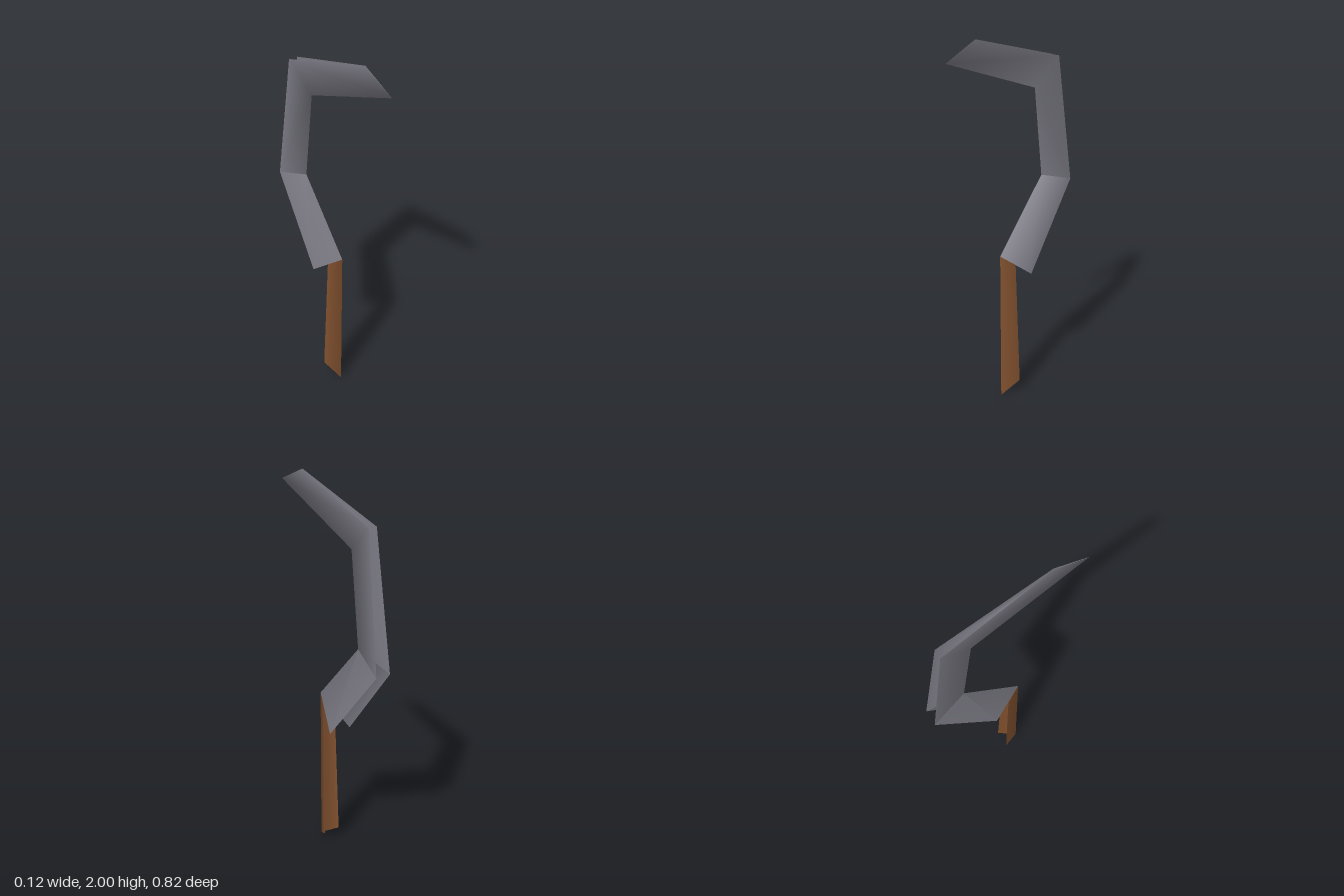
import * as THREE from 'three';

const steel = new THREE.MeshStandardMaterial({ color: 0x7b7a84, side: THREE.DoubleSide });
steel.name = 'steel grey';
const wood = new THREE.MeshStandardMaterial({ color: 0x80502e, side: THREE.DoubleSide });
wood.name = 'wood brown';

// Mirrored sheet: triangles on the +x side are repeated on the -x side.
// Points with x = 0 lie on the spine and are shared, so the fold shades smoothly.
function foldedSheet(name, points, triangles, material) {
  const positions = points.flat();
  const mirror = points.map(([x, y, z], i) => {
    if (x === 0) return i;
    positions.push(-x, y, z);
    return positions.length / 3 - 1;
  });
  const index = [];
  for (const [a, b, c] of triangles) {
    index.push(a, b, c, mirror[a], mirror[c], mirror[b]);
  }
  const geometry = new THREE.BufferGeometry();
  geometry.setAttribute('position', new THREE.Float32BufferAttribute(positions, 3));
  geometry.setIndex(index);
  geometry.computeVertexNormals();
  const mesh = new THREE.Mesh(geometry, material);
  mesh.name = name;
  return mesh;
}

// Strip of V cross-sections, each given as a [spine, outer] pair.
function foldedStrip(name, sections, material) {
  const triangles = [];
  for (let i = 0; i < sections.length - 1; i++) {
    const s = 2 * i;
    triangles.push([s, s + 1, s + 2], [s + 1, s + 3, s + 2]);
  }
  return foldedSheet(name, sections.flat(), triangles, material);
}

export function createModel() {
  const model = new THREE.Group();
  model.name = 'sickle';

  // V-shaped handle, open at the back
  model.add(foldedStrip('handle', [
    [[0, 0, 0.09], [0.047, 0.07, -0.01]],
    [[0, 0.88, 0.09], [0.033, 0.81, 0.01]],
  ], wood));

  // Lower blade: a leaning front fold and flat rear cheeks
  const spineLow = [0, 0.88, 0.09], spineBend = [0, 1.23, -0.22];
  const outerLow = [0.062, 0.73, -0.08], outerBend = [0.04, 1.16, -0.41];
  model.add(foldedSheet('lowerBladeFold', [spineLow, outerLow, spineBend], [[0, 1, 2]], steel));
  model.add(foldedSheet('lowerBladeCheeks', [outerLow, outerBend, spineBend], [[0, 1, 2]], steel));

  // Upper blade, bending forward to the narrow tip
  model.add(foldedStrip('upperBlade', [
    [spineBend, outerBend],
    [[0, 1.7, -0.16], [0.022, 1.83, -0.31]],
    [[0, 1.93, 0.41], [0.003, 2, 0.23]],
  ], steel));

  return model;
}
